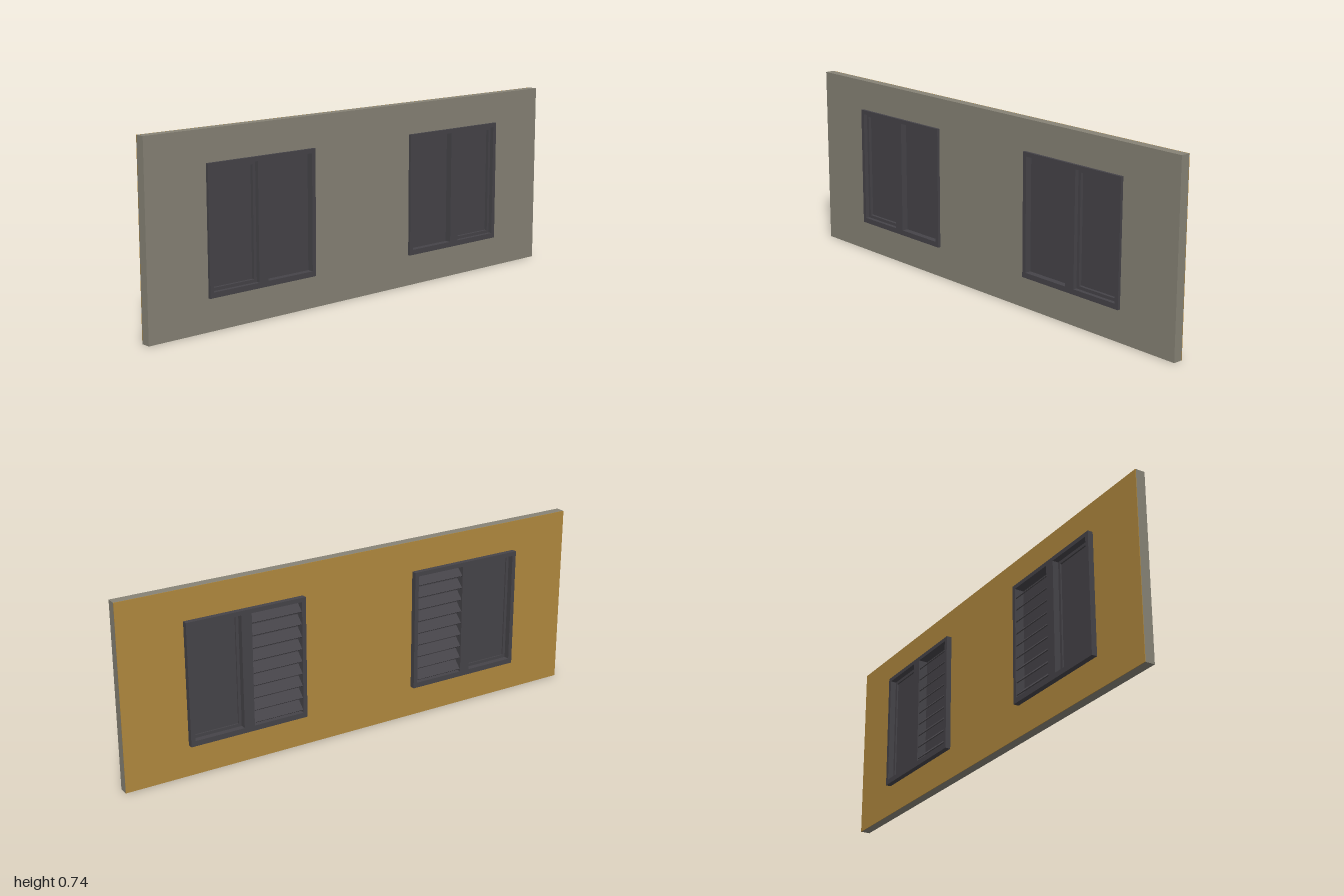
import * as THREE from 'three';

const WALL_H = 0.735;
const WIN = { z0: 0.247, z1: 0.741, y0: 0.125, y1: 0.613, half: 0.036 };
const BORDER = 0.021;
const MULLION = [0.476, 0.519];

export function createModel() {
  const material = (name, color) => {
    const m = new THREE.MeshStandardMaterial({ color });
    m.name = name;
    return m;
  };
  const plaster = material('greyPlaster', 0x868275);
  const wood = material('brownCladding', 0xb0883e);
  const metal = material('darkFrame', 0x454348);

  const model = new THREE.Group();
  model.name = 'wallWithWindows';

  // Rectangle in the z/y plane, as a shape or a hole
  const rect = (Type, z0, z1, y0, y1) => {
    const path = new Type();
    path.moveTo(z0, y0);
    path.lineTo(z1, y0);
    path.lineTo(z1, y1);
    path.lineTo(z0, y1);
    path.closePath();
    return path;
  };

  // Flat slab across x0..x1 with rectangular holes; shape x is turned onto -z
  const slab = (parent, name, mat, x0, x1, outer, holes = []) => {
    const shape = rect(THREE.Shape, -outer[1], -outer[0], outer[2], outer[3]);
    for (const h of holes) shape.holes.push(rect(THREE.Path, -h[1], -h[0], h[2], h[3]));
    const geo = new THREE.ExtrudeGeometry(shape, { depth: x1 - x0, bevelEnabled: false });
    geo.rotateY(Math.PI / 2);
    geo.translate(x0, 0, 0);
    const mesh = new THREE.Mesh(geo, mat);
    mesh.name = name;
    parent.add(mesh);
    return mesh;
  };

  // z range on either half of the wall
  const side = (s, z0, z1) => (s > 0 ? [z0, z1] : [-z1, -z0]);
  const inset = ([z0, z1, y0, y1], d) => [z0 + d, z1 - d, y0 + d, y1 - d];

  // Wall core with a thin cladding layer on its -x face
  const openings = [1, -1].map((s) => [...side(s, WIN.z0, WIN.z1), WIN.y0, WIN.y1]);
  const wallRect = [-1, 1, 0, WALL_H];
  slab(model, 'wall', plaster, -0.0125, 0.025, wallRect, openings);
  slab(model, 'cladding', wood, -0.0145, -0.0125, wallRect, openings);

  for (const s of [1, -1]) {
    const win = new THREE.Group();
    win.name = s > 0 ? 'frontWindow' : 'backWindow';
    model.add(win);

    const low = WIN.y0 + BORDER;
    const high = WIN.y1 - BORDER * 0.8;
    const inner = [...side(s, WIN.z0 + BORDER * 0.8, MULLION[0]), low, high];
    const outer = [...side(s, MULLION[1], WIN.z1 - BORDER * 0.8), low, high];

    // Outer frame and central mullion
    slab(win, 'windowFrame', metal, -WIN.half, WIN.half,
      [...side(s, WIN.z0, WIN.z1), WIN.y0, WIN.y1], [inner, outer]);

    // Sash with a recessed pane
    slab(win, 'sash', metal, -0.012, 0.02, outer, [inset(outer, 0.012)]);
    slab(win, 'sashPane', metal, -0.006, 0.008, inset(outer, 0.012));

    // Flat pane behind the louvres
    slab(win, 'fixedPane', metal, 0.002, 0.01, inner);

    // Tilted louvre slats, outer edge lower
    const count = 9;
    const pitch = (high - low) / count;
    const slatGeo = new THREE.BoxGeometry(0.044, 0.004, inner[1] - inner[0]);
    for (let i = 0; i < count; i++) {
      const slat = new THREE.Mesh(slatGeo, metal);
      slat.name = 'louvreSlat';
      slat.position.set(-0.016, low + (i + 0.5) * pitch, (inner[0] + inner[1]) / 2);
      slat.rotation.z = Math.PI / 4;
      win.add(slat);
    }
  }
  return model;
}
